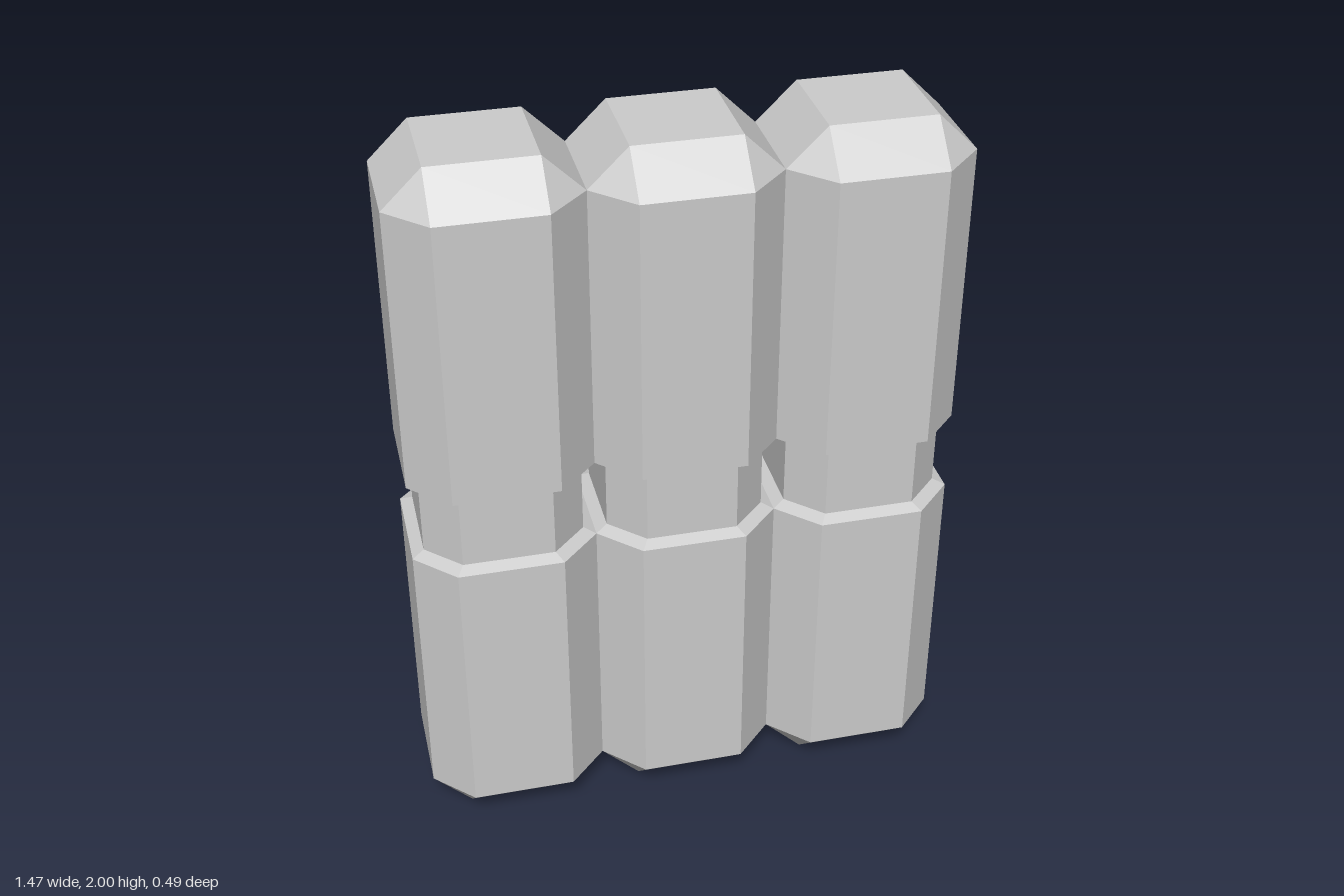
import * as THREE from 'three';

const SPACING = 0.49;
const OUTER = 0.245, FLAT = 0.14;           // half width of a block, half width of its flat faces
const WAIST = 0.213, WAIST_FLAT = 0.122;    // same for the narrow neck

// Eight-sided ring: a square with cut corners (half === flat gives a plain square)
function ring([y, half, flat]) {
  return [
    [half, -flat], [half, flat], [flat, half], [-flat, half],
    [-half, flat], [-half, -flat], [-flat, -half], [flat, -half],
  ].map(([x, z]) => new THREE.Vector3(x, y, z));
}

// Skins a stack of rings listed from bottom to top, with optional end caps
function loft(levels, capBottom, capTop) {
  const rings = levels.map(ring);
  const positions = [];
  const tri = (a, b, c) => {
    const area = b.clone().sub(a).cross(c.clone().sub(a)).length();
    if (area > 1e-8) for (const p of [a, b, c]) positions.push(p.x, p.y, p.z);
  };
  for (let r = 0; r < rings.length - 1; r++) {
    const lo = rings[r], hi = rings[r + 1];
    for (let i = 0; i < 8; i++) {
      const j = (i + 1) % 8;
      tri(lo[i], hi[i], hi[j]);
      tri(lo[i], hi[j], lo[j]);
    }
  }
  const first = rings[0], last = rings[rings.length - 1];
  for (let i = 1; i < 7; i++) {
    if (capBottom) tri(first[0], first[i], first[i + 1]);
    if (capTop) tri(last[0], last[i + 1], last[i]);
  }
  const geometry = new THREE.BufferGeometry();
  geometry.setAttribute('position', new THREE.Float32BufferAttribute(positions, 3));
  geometry.computeVertexNormals();
  return geometry;
}

export function createModel() {
  const model = new THREE.Group();
  model.name = 'tripleBar';
  const material = new THREE.MeshStandardMaterial({ color: 0xcccccc, flatShading: true });

  // Block profile from the bevelled end to the sloped ledge at the waist
  const lower = [
    [0, FLAT, FLAT],
    [0.103, OUTER, FLAT],
    [0.886, OUTER, FLAT],
    [0.9, WAIST, WAIST_FLAT],
  ];
  const upper = lower.map(([y, half, flat]) => [2 - y, half, flat]).reverse();
  const waist = [[0.9, WAIST, WAIST_FLAT], [1.1, WAIST, WAIST_FLAT]];

  const parts = {
    lowerBlock: loft(lower, true, false),
    waist: loft(waist, false, false),
    upperBlock: loft(upper, false, true),
  };

  // Three identical bars side by side
  ['rightBar', 'middleBar', 'leftBar'].forEach((name, i) => {
    const bar = new THREE.Group();
    bar.name = name;
    bar.position.x = (i - 1) * SPACING;
    for (const [part, geometry] of Object.entries(parts)) {
      const mesh = new THREE.Mesh(geometry, material);
      mesh.name = part;
      bar.add(mesh);
    }
    model.add(bar);
  });
  return model;
}
